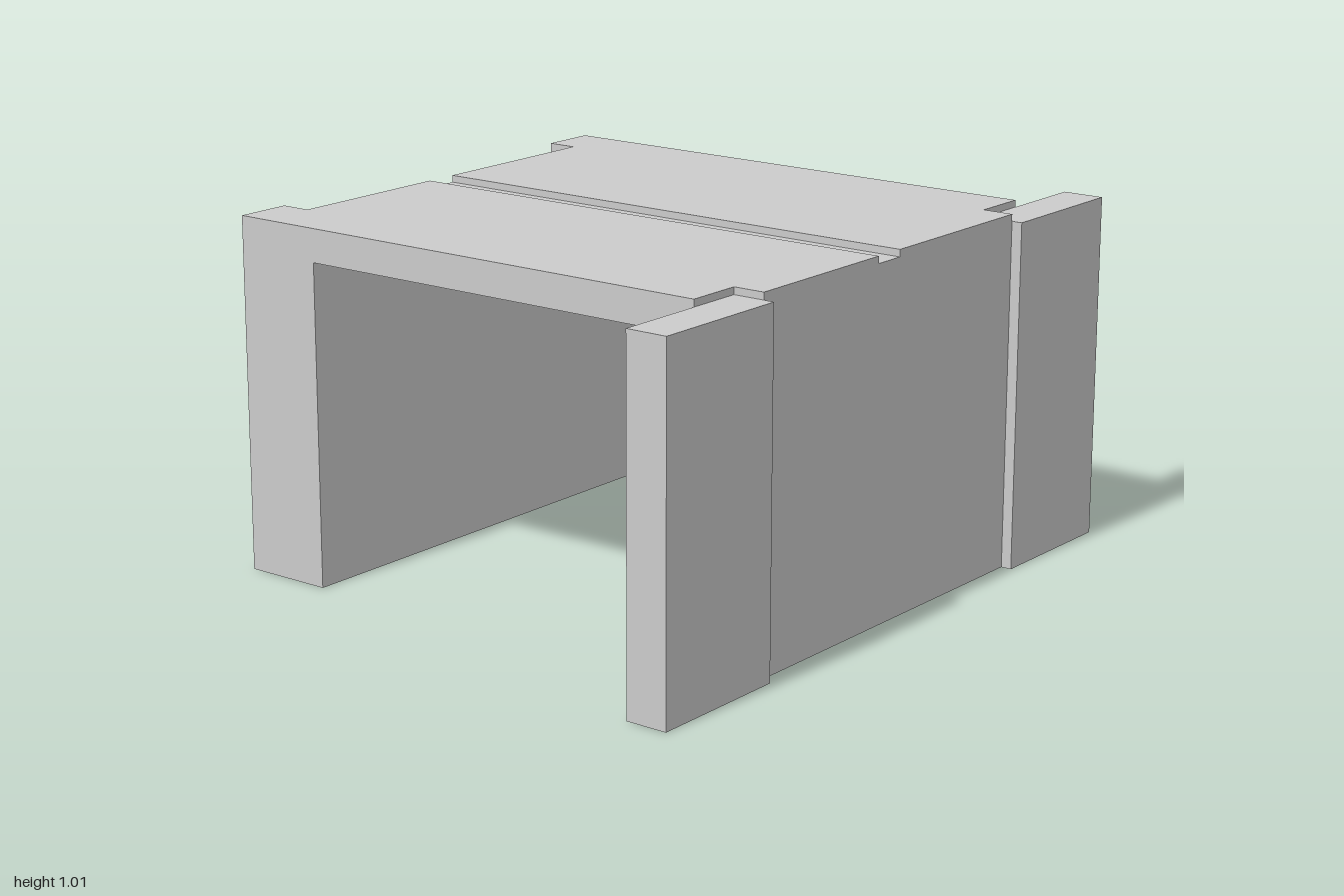
import * as THREE from 'three';

const material = new THREE.MeshStandardMaterial({ color: 0xcccccc, flatShading: true });

// Main plan lines
const OUT = -0.835, LEFT = -0.747, LEFT_IN = -0.57;
const RIGHT_IN = 0.711, RIGHT = 0.802, PIER = 0.833;
const END = 0.735, STEP = 0.572;
const DECK = 0.918, GROOVE = 0.992, TOP = 1.012;

// Extrudes a plan outline of [x, z] points between two heights
function slab(name, points, y0, y1) {
  const shape = new THREE.Shape(points.map(([x, z]) => new THREE.Vector2(x, -z)));
  const geometry = new THREE.ExtrudeGeometry(shape, { depth: y1 - y0, bevelEnabled: false });
  geometry.rotateX(-Math.PI / 2);
  geometry.translate(0, y0, 0);
  const mesh = new THREE.Mesh(geometry, material);
  mesh.name = name;
  return mesh;
}

// Half of the top outline, from a line at |z| = inner out to the end (side is +1 or -1)
function halfTop(side, inner) {
  return [
    [LEFT, inner], [LEFT, side * STEP], [OUT, side * STEP], [OUT, side * END],
    [RIGHT_IN, side * END], [RIGHT_IN, side * STEP], [RIGHT, side * STEP], [RIGHT, inner],
  ];
}

export function createModel() {
  const group = new THREE.Group();
  group.name = 'gateway';

  // Side wall with a projecting flange at each end
  group.add(slab('flangedWall', [
    [LEFT_IN, END], [OUT, END], [OUT, STEP], [LEFT, STEP],
    [LEFT, -STEP], [OUT, -STEP], [OUT, -END], [LEFT_IN, -END],
  ], 0, DECK));

  // Thin wall between the two piers
  group.add(slab('thinWall', [
    [RIGHT_IN, STEP], [RIGHT, STEP], [RIGHT, -STEP], [RIGHT_IN, -STEP],
  ], 0, DECK));

  // Roof deck, whose upper face is the floor of the groove
  const front = halfTop(1, 0).slice(1, -1);
  const back = halfTop(-1, 0).slice(1, -1).reverse();
  group.add(slab('roofDeck', [...front, ...back], DECK, GROOVE));

  // Raised roof panels on either side of the groove
  group.add(slab('frontRoofPanel', halfTop(1, 0.072), GROOVE, TOP));
  group.add(slab('backRoofPanel', halfTop(-1, -0.025), GROOVE, TOP));

  // Piers running past both ends of the roof
  for (const side of [1, -1]) {
    group.add(slab(side > 0 ? 'frontPier' : 'backPier', [
      [RIGHT_IN, side * STEP], [PIER, side * STEP], [PIER, side], [RIGHT_IN, side],
    ], 0, GROOVE));
  }

  return group;
}
